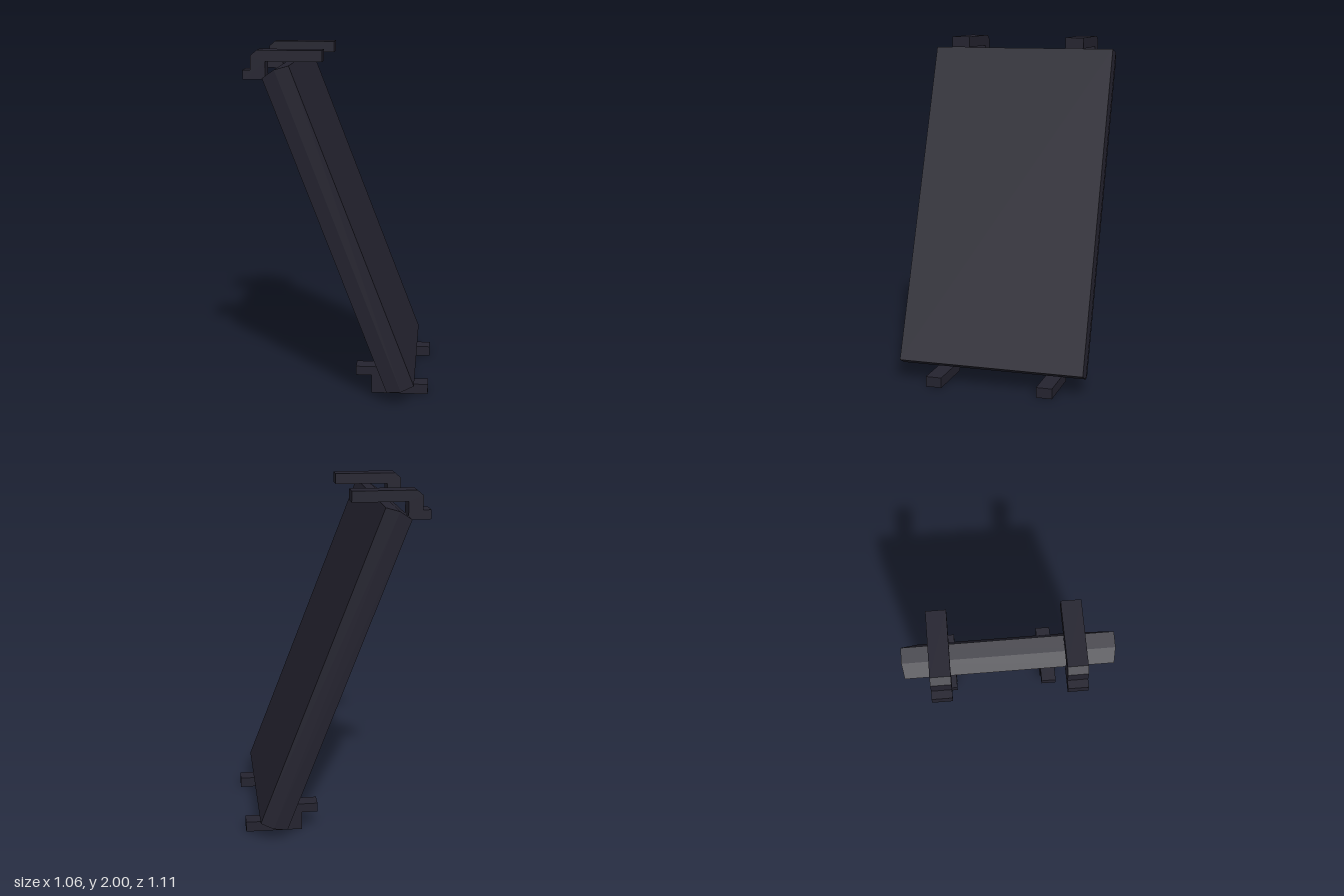
import * as THREE from 'three';

const frameMat = new THREE.MeshStandardMaterial({ color: 0x24232f });
frameMat.name = 'dark navy';
const panelMat = new THREE.MeshStandardMaterial({ color: 0x464143 });
panelMat.name = 'warm grey';

// Rectangle corners [x, y, z], counter-clockwise seen from +x
const ring = ([x, hy, hz]) => [[x, -hy, hz], [x, -hy, -hz], [x, hy, -hz], [x, hy, hz]];

// Mesh of separate flat quads
function quadMesh(name, quads, material) {
  const points = quads.flatMap(([a, b, c, d]) => [a, b, c, a, c, d]).flat();
  const geometry = new THREE.BufferGeometry();
  geometry.setAttribute('position', new THREE.Float32BufferAttribute(points, 3));
  geometry.computeVertexNormals();
  const mesh = new THREE.Mesh(geometry, material);
  mesh.name = name;
  return mesh;
}

// Bracket: a side profile extruded across z
function bracket(name, profile, zMin, zMax) {
  const shape = new THREE.Shape(profile.map(([x, y]) => new THREE.Vector2(x, y)));
  const geometry = new THREE.ExtrudeGeometry(shape, { depth: zMax - zMin, bevelEnabled: false });
  const mesh = new THREE.Mesh(geometry, frameMat);
  mesh.name = name;
  mesh.position.z = zMin;
  return mesh;
}

export function createModel() {
  const model = new THREE.Group();
  model.name = 'leaningFramedPanel';

  // Frame rings from the flat face, over the ridge and rim, into the recess
  const rings = [
    [0, 0.97, 0.555],
    [-0.082, 0.978, 0.557],
    [-0.163, 0.959, 0.545],
    [-0.163, 0.80, 0.415],
    [-0.105, 0.795, 0.41],
  ].map(ring);
  const frameQuads = [rings[0]];
  for (let r = 0; r < rings.length - 1; r++) {
    const a = rings[r], b = rings[r + 1];
    for (let i = 0; i < 4; i++) {
      const j = (i + 1) % 4;
      frameQuads.push([a[i], b[i], b[j], a[j]]);
    }
  }
  const panel = new THREE.Group();
  panel.name = 'panel';
  panel.add(quadMesh('frame', frameQuads, frameMat));
  panel.add(quadMesh('recessedSurface', [[...rings[4]].reverse()], panelMat));
  panel.position.set(0.1, 1.025, 0);
  panel.rotation.z = 0.369;
  model.add(panel);

  // Hooked brackets along the upper edge
  const upper = [[-0.085, 2], [-0.45, 2], [-0.485, 1.97], [-0.485, 1.89], [-0.53, 1.89],
    [-0.53, 1.837], [-0.402, 1.837], [-0.402, 1.937], [-0.085, 1.937]];
  model.add(bracket('upperBracketBack', upper, -0.413, -0.305));
  model.add(bracket('upperBracketFront', upper, 0.29, 0.398));

  // Stepped feet under the lower edge
  const lower = [[0.105, 0.16], [0.105, 0.107], [0.197, 0.107], [0.197, 0], [0.527, 0],
    [0.527, 0.06], [0.265, 0.06], [0.265, 0.16]];
  model.add(bracket('lowerBracketBack', lower, -0.396, -0.302));
  model.add(bracket('lowerBracketFront', lower, 0.268, 0.363));

  return model;
}
